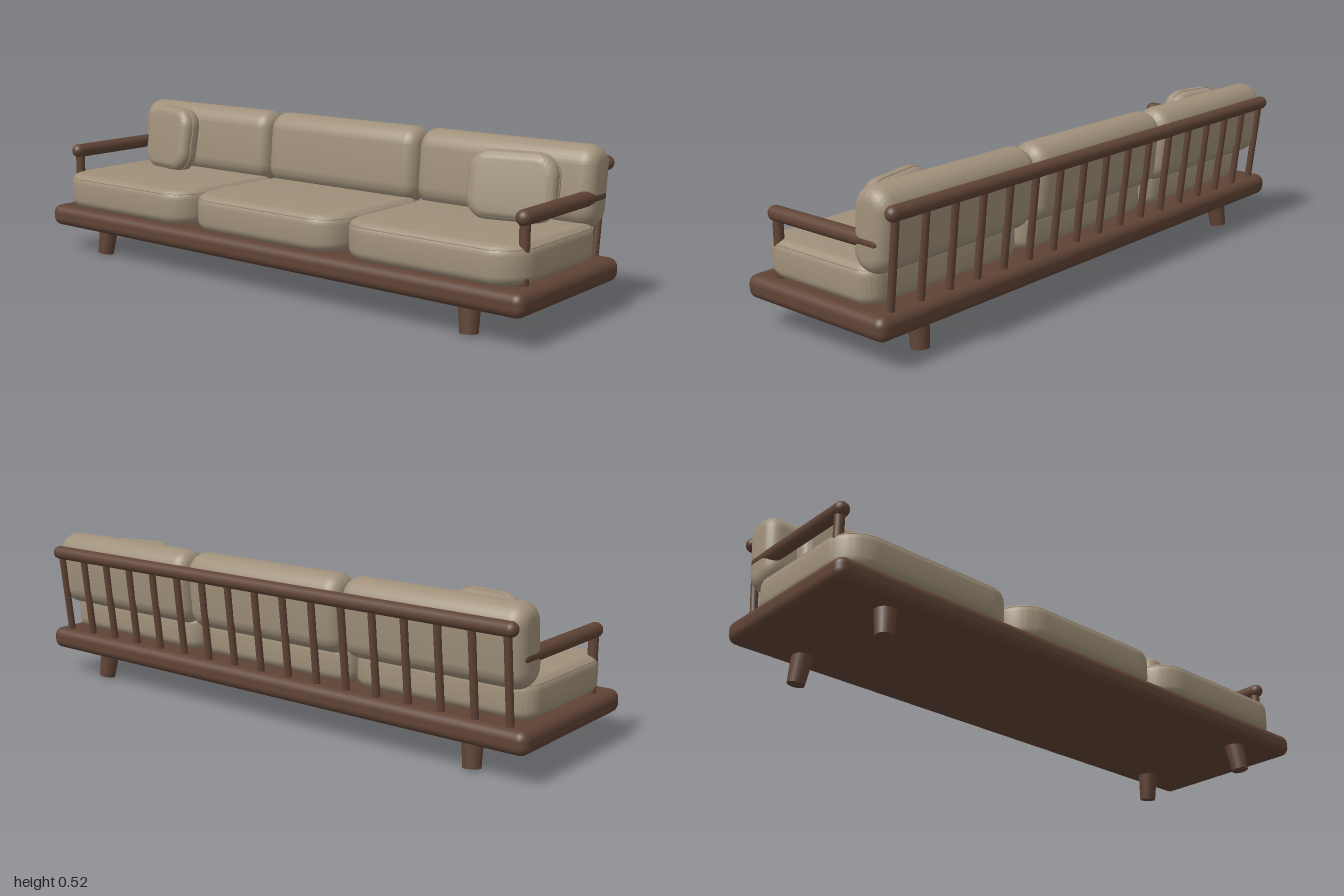
import * as THREE from 'three';
import { toCreasedNormals } from 'three/addons/utils/BufferGeometryUtils.js';
import { RoundedBoxGeometry } from 'three/addons/geometries/RoundedBoxGeometry.js';

const wood = new THREE.MeshStandardMaterial({ color: 0x5f4335 });
wood.name = 'wood';
const fabric = new THREE.MeshStandardMaterial({ color: 0x9f907a });
fabric.name = 'fabric';

function add(parent, name, geometry, material, x = 0, y = 0, z = 0) {
  const mesh = new THREE.Mesh(geometry, material);
  mesh.name = name;
  mesh.position.set(x, y, z);
  parent.add(mesh);
  return mesh;
}

// Rounded rectangle; rLow and rHigh are the corner radii at -y and +y
function outline(w, h, rLow, rHigh = rLow, inset = 0) {
  const x = w / 2 - inset, y = h / 2 - inset, a = rLow - inset, b = rHigh - inset, q = Math.PI / 2;
  const s = new THREE.Shape();
  s.moveTo(-x + a, -y);
  s.lineTo(x - a, -y);
  s.absarc(x - a, -y + a, a, -q, 0);
  s.lineTo(x, y - b);
  s.absarc(x - b, y - b, b, 0, q);
  s.lineTo(-x + b, y);
  s.absarc(-x + b, y - b, b, q, 2 * q);
  s.lineTo(-x, -y + a);
  s.absarc(-x + a, -y + a, a, 2 * q, 3 * q);
  return s;
}

// Soft block centred on its extrusion axis, staying inside the outline
function softBlock(shape, depth, bevel) {
  const g = new THREE.ExtrudeGeometry(shape, {
    depth: depth - 2 * bevel, bevelThickness: bevel, bevelSize: bevel,
    bevelOffset: -bevel, bevelSegments: 6, curveSegments: 10,
  });
  g.translate(0, 0, bevel - depth / 2);
  return toCreasedNormals(g, 0.6);
}

// Thin piping following an outline at height z
function piping(shape, z) {
  const pts = shape.getSpacedPoints(72).slice(0, -1).map(p => new THREE.Vector3(p.x, p.y, z));
  return new THREE.TubeGeometry(new THREE.CatmullRomCurve3(pts, true), 96, 0.003, 6, true);
}

// Round bar between two points, with optional taper
function bar(parent, name, from, to, rFrom, rTo = rFrom) {
  const a = new THREE.Vector3(...from), b = new THREE.Vector3(...to);
  const mesh = add(parent, name, new THREE.CylinderGeometry(rTo, rFrom, a.distanceTo(b), 20), wood);
  mesh.position.copy(a).add(b).multiplyScalar(0.5);
  mesh.quaternion.setFromUnitVectors(new THREE.Vector3(0, 1, 0), b.sub(a).normalize());
  return mesh;
}

export function createModel() {
  const sofa = new THREE.Group();
  sofa.name = 'sofa';

  // Platform
  add(sofa, 'platform', new RoundedBoxGeometry(2, 0.075, 0.59, 5, 0.03), wood, 0, 0.13, 0.01);

  for (const side of [-1, 1]) {
    // Splayed tapered legs
    bar(sofa, 'frontLeg', [side * 0.787, 0.003, 0.231], [side * 0.778, 0.11, 0.217], 0.028, 0.035);
    bar(sofa, 'backLeg', [side * 0.787, 0.003, -0.212], [side * 0.778, 0.11, -0.198], 0.028, 0.035);

    // Armrest with its front post
    const arm = new THREE.CapsuleGeometry(0.024, 0.434, 8, 20);
    arm.rotateX(Math.PI / 2);
    add(sofa, 'armrest', arm, wood, side * 0.945, 0.363, -0.006);
    bar(sofa, 'armPost', [side * 0.945, 0.16, 0.204], [side * 0.945, 0.363, 0.204], 0.016);
  }

  // Back rail and leaning spindles
  const rail = new THREE.CapsuleGeometry(0.023, 1.88, 8, 20);
  rail.rotateZ(Math.PI / 2);
  add(sofa, 'backRail', rail, wood, 0, 0.455, -0.281);
  const spindles = 17;
  for (let i = 0; i < spindles; i++) {
    const x = -0.93 + 1.86 * i / (spindles - 1);
    bar(sofa, 'backSpindle', [x, 0.16, -0.247], [x, 0.455, -0.281], 0.012);
  }

  // Seat cushions (outline -y becomes the front) and back cushions
  const seatGeometry = softBlock(outline(0.638, 0.49, 0.11, 0.06), 0.12, 0.032);
  const seatPiping = piping(outline(0.638, 0.49, 0.11, 0.06, 0.007), 0.046);
  const backGeometry = softBlock(outline(0.138, 0.255, 0.066), 0.638, 0.045);
  backGeometry.rotateY(Math.PI / 2);
  for (const x of [-0.648, 0, 0.648]) {
    const seat = new THREE.Group();
    seat.name = 'seatCushion';
    seat.position.set(x, 0.227, 0.04);
    seat.rotation.x = -Math.PI / 2;
    add(seat, 'seatPad', seatGeometry, fabric);
    add(seat, 'seatPiping', seatPiping, fabric);
    sofa.add(seat);
    add(sofa, 'backCushion', backGeometry, fabric, x, 0.392, -0.2).rotation.x = -0.09;
  }

  // Loose pillows, leaning back and turned outwards
  const pillows = [
    { w: 0.25, h: 0.235, at: [-0.755, 0.395, -0.088], yaw: -0.18 },
    { w: 0.285, h: 0.215, at: [0.74, 0.388, -0.07], yaw: 0.22 },
  ];
  for (const { w, h, at, yaw } of pillows) {
    const pillow = new THREE.Group();
    pillow.name = 'pillow';
    pillow.position.set(...at);
    pillow.rotation.set(-0.16, yaw, 0, 'YXZ');
    add(pillow, 'pillowPad', softBlock(outline(w, h, 0.07), 0.08, 0.03), fabric);
    add(pillow, 'pillowPiping', piping(outline(w, h, 0.07), 0), fabric);
    sofa.add(pillow);
  }

  return sofa;
}
